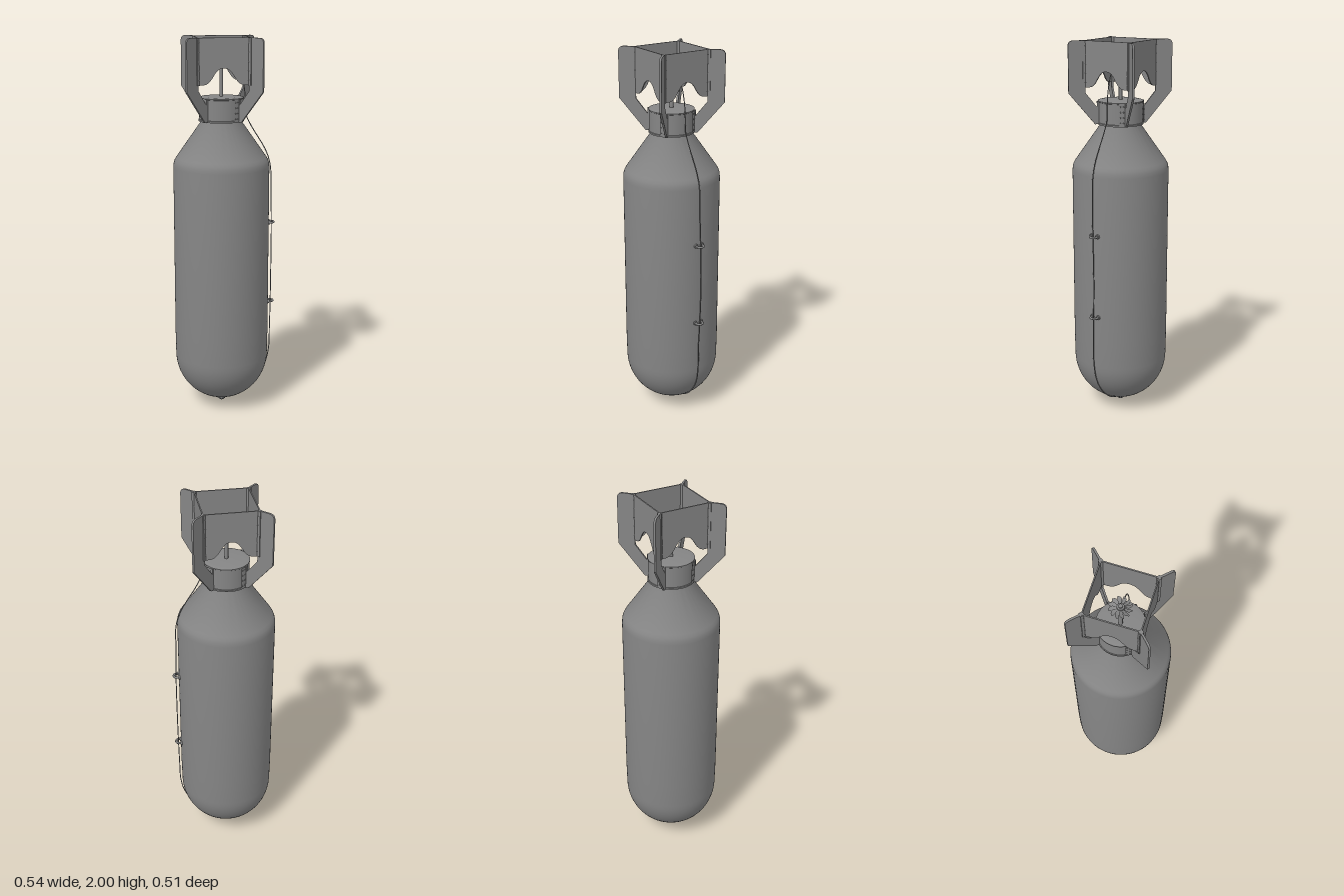
import * as THREE from 'three';
import { toCreasedNormals } from 'three/addons/utils/BufferGeometryUtils.js';

const paint = new THREE.MeshStandardMaterial({ color: 0x858585, side: THREE.DoubleSide });
const V2 = (x, y) => new THREE.Vector2(x, y);
const V3 = (x, y, z) => new THREE.Vector3(x, y, z);

function add(parent, name, geometry, x = 0, y = 0, z = 0) {
  const mesh = new THREE.Mesh(geometry, paint);
  mesh.name = name;
  mesh.position.set(x, y, z);
  parent.add(mesh);
  return mesh;
}

// Turned part from [radius, height] pairs, listed bottom to top
function turned(points, segments = 64, crease = 0.6) {
  const lathe = new THREE.LatheGeometry(points.map(p => V2(...p)), segments);
  return toCreasedNormals(lathe, crease);
}

// Flat plate, centred on its thickness
function plate(shape, depth) {
  const g = new THREE.ExtrudeGeometry(shape, { depth, bevelEnabled: false, curveSegments: 10 });
  return toCreasedNormals(g.translate(0, 0, -depth / 2), 0.5);
}

function tube(points, radius, segments) {
  return new THREE.TubeGeometry(new THREE.CatmullRomCurve3(points.map(p => V3(...p))), segments, radius, 8);
}

// Swept, pitched fan blade growing along +x
function bladeGeometry(inner, outer, width, pitch) {
  const g = new THREE.PlaneGeometry(1, 1, 8, 4);
  const p = g.attributes.position;
  for (let i = 0; i < p.count; i++) {
    const t = p.getX(i) + 0.5;
    const s = p.getY(i);
    const chord = width * (0.45 + 0.55 * Math.sin(t * 2.4)) * Math.sqrt(Math.max(0.04, 1 - t ** 5));
    const across = s * chord;
    p.setXYZ(i, inner + t * (outer - inner), across * pitch, across + 0.25 * width * Math.sin(t * Math.PI));
  }
  g.computeVertexNormals();
  return g;
}

function fan(name, count, inner, outer, width) {
  const g = new THREE.Group();
  g.name = name;
  const blade = bladeGeometry(inner, outer, width, 0.5);
  for (let i = 0; i < count; i++) add(g, 'fanBlade', blade).rotation.y = i * 2 * Math.PI / count;
  return g;
}

export function createModel() {
  const model = new THREE.Group();
  model.name = 'finnedCylinder';
  const root = new THREE.Group();
  root.name = 'assembly';
  root.position.x = -0.018;
  model.add(root);

  // Main casing: domed nose, long barrel, tapered tail
  const dome = [];
  for (let i = 0; i <= 16; i++) {
    const a = i / 16 * Math.PI / 2;
    dome.push([0.251 * Math.sin(a), 0.29 - 0.257 * Math.cos(a)]);
  }
  add(root, 'casing', turned([...dome, [0.253, 0.42], [0.253, 1.33], [0.251, 1.35], [0.246, 1.365],
    [0.237, 1.38], [0.104, 1.57], [0.104, 1.6]], 96, 0.7));

  // Tail collar with lip and shallow lid
  add(root, 'tailCollar', turned([[0.1, 1.57], [0.119, 1.57], [0.119, 1.578], [0.115, 1.58],
    [0.115, 1.685], [0.118, 1.687], [0.118, 1.692], [0.11, 1.694], [0.095, 1.696], [0, 1.697]], 64));

  // Nose fuze
  add(root, 'noseFuze', turned([[0, 0], [0.01, 0], [0.01, 0.006], [0.018, 0.007], [0.018, 0.015],
    [0.026, 0.016], [0.026, 0.034], [0.034, 0.036], [0.034, 0.046]], 32));
  const noseFan = fan('noseFan', 8, 0.01, 0.026, 0.01);
  noseFan.position.y = 0.012;
  root.add(noseFan);

  // Tail fuze: spindle, hub and fan inside the fin box
  add(root, 'tailSpindle', turned([[0.01, 1.69], [0.01, 1.87]], 20));
  add(root, 'tailHub', turned([[0.009, 1.862], [0.018, 1.864], [0.018, 1.884], [0.01, 1.885],
    [0.01, 1.893], [0, 1.893]], 24));
  const tailFan = fan('tailFan', 12, 0.016, 0.057, 0.02);
  tailFan.position.y = 1.874;
  root.add(tailFan);

  // Diagonal fin outline in (radius, height)
  const fin = new THREE.Shape();
  fin.moveTo(0.114, 1.572);
  fin.lineTo(0.136, 1.572);
  fin.lineTo(0.273, 1.735);
  fin.lineTo(0.273, 1.972);
  fin.quadraticCurveTo(0.273, 2, 0.243, 2);
  fin.lineTo(0.185, 2);
  fin.lineTo(0.185, 1.735);
  fin.lineTo(0.125, 1.66);
  fin.lineTo(0.125, 1.69);
  fin.lineTo(0.114, 1.69);
  fin.closePath();
  const finGeometry = plate(fin, 0.01);

  // Box wall with a scalloped lower edge
  const wall = new THREE.Shape();
  wall.moveTo(-0.135, 2);
  wall.lineTo(-0.135, 1.765);
  wall.lineTo(-0.105, 1.765);
  wall.bezierCurveTo(-0.05, 1.77, -0.055, 1.85, 0, 1.85);
  wall.bezierCurveTo(0.055, 1.85, 0.05, 1.77, 0.105, 1.765);
  wall.lineTo(0.135, 1.765);
  wall.lineTo(0.135, 2);
  wall.closePath();
  const wallGeometry = plate(wall, 0.006);

  // Fins, each with a riveted strap to one side of its foot
  const strap = new THREE.CylinderGeometry(0.121, 0.121, 0.112, 8, 1, true, Math.PI / 2 - 0.3, 0.3);
  const rivet = new THREE.SphereGeometry(0.0035, 8, 6);
  for (let i = 0; i < 4; i++) {
    const corner = new THREE.Group();
    corner.name = 'finAssembly';
    corner.rotation.y = Math.PI / 4 + i * Math.PI / 2;
    root.add(corner);
    add(corner, 'fin', finGeometry);
    add(corner, 'cornerBracket', new THREE.BoxGeometry(0.018, 0.235, 0.02), 0.19, 1.8815, 0);
    add(corner, 'collarStrap', strap, 0, 1.632, 0);
    for (const a of [0.1, 0.23]) for (let j = 0; j < 4; j++) {
      add(corner, 'strapRivet', rivet, 0.12 * Math.cos(a), 1.59 + j * 0.028, 0.12 * Math.sin(a));
    }

    const side = new THREE.Group();
    side.name = 'boxSide';
    side.rotation.y = i * Math.PI / 2;
    root.add(side);
    add(side, 'boxWall', wallGeometry, 0, 0, 0.135);
    for (const x of [-0.125, 0.125]) for (let j = 0; j < 5; j++) {
      add(side, 'wallRivet', rivet, x, 1.79 + j * 0.046, 0.137);
    }
  }

  // Suspension lugs on the left side, each leg set in a round boss
  const boss = new THREE.CylinderGeometry(0.011, 0.013, 0.014, 16).rotateZ(-Math.PI / 2);
  for (const y of [0.575, 1.02]) {
    const path = [[0.245, y, 0.018], [0.266, y, 0.018]];
    for (let k = 1; k < 6; k++) {
      const a = Math.PI / 2 - k * Math.PI / 6;
      path.push([0.266 + 0.016 * Math.cos(a), y, 0.018 * Math.sin(a)]);
    }
    path.push([0.266, y, -0.018], [0.245, y, -0.018]);
    add(root, 'suspensionLug', tube(path, 0.006, 32));
    for (const z of [-0.018, 0.018]) add(root, 'lugBoss', boss, 0.252, y, z);
  }

  // Arming wire from nose fuze, through both lugs, up to the tail fan
  add(root, 'armingWire', tube([[0.02, 0.022, -0.01], [0.06, 0.035, -0.01], [0.12, 0.06, -0.008],
    [0.19, 0.12, -0.003], [0.24, 0.2, 0], [0.262, 0.29, 0.003], [0.266, 0.42, 0.005], [0.269, 0.575, 0],
    [0.271, 0.8, -0.004], [0.27, 1.02, 0], [0.265, 1.2, 0.004], [0.26, 1.33, 0.004], [0.235, 1.41, 0.004],
    [0.155, 1.545, 0.003], [0.13, 1.6, 0.002], [0.125, 1.69, 0.002], [0.115, 1.76, 0.002],
    [0.085, 1.84, 0.002], [0.045, 1.874, 0.002]], 0.0025, 160));

  return model;
}
